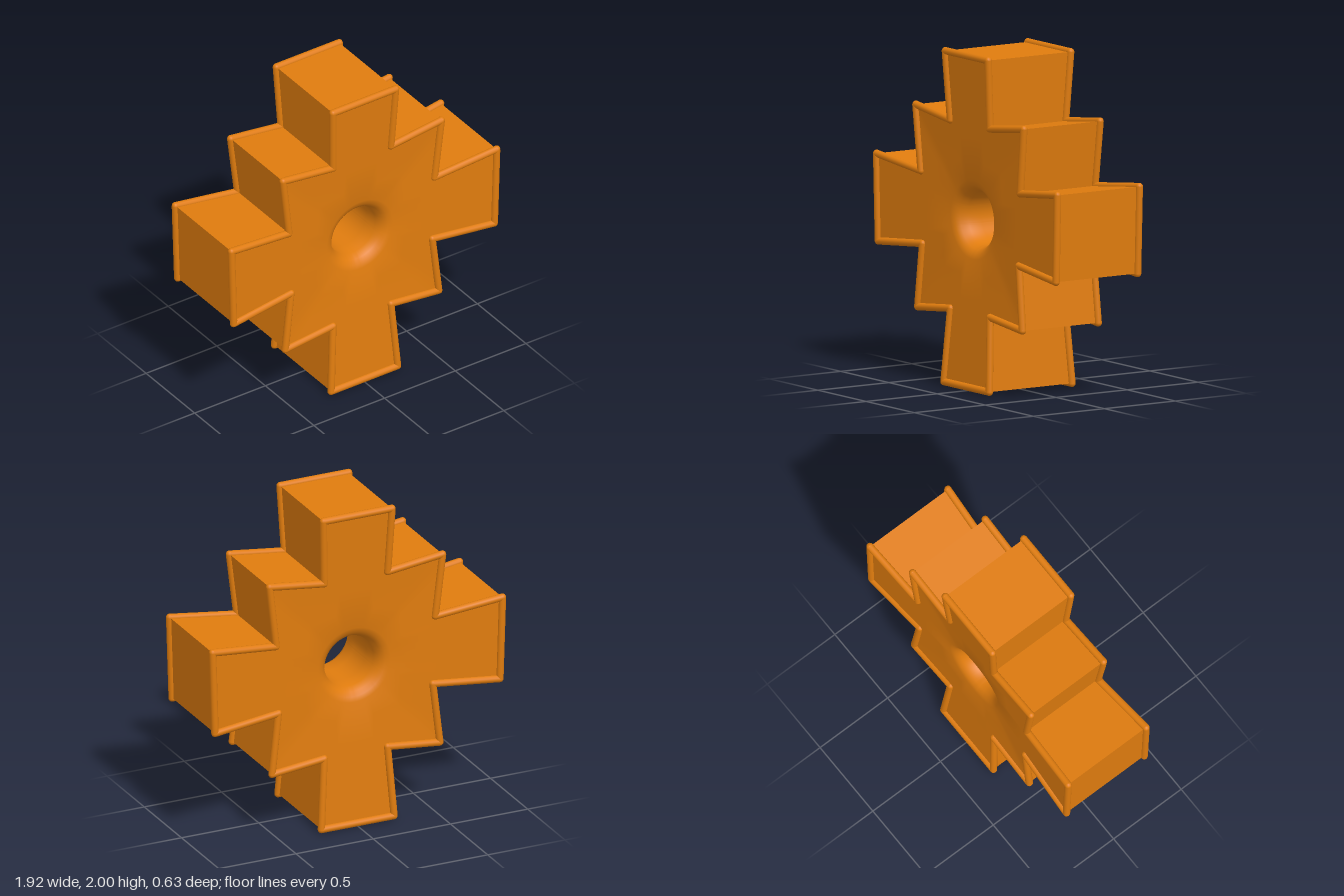
import * as THREE from 'three';
import { toCreasedNormals } from 'three/addons/utils/BufferGeometryUtils.js';

const RIM = 0.022;
const CENTRE_Y = 1.005;

// right half of the stepped cross outline, top to bottom; mirrored for the left
const half = [
  [0.222, 1.978], [0.205, 1.57], [0.56, 1.615], [0.515, 1.228], [0.938, 1.277],
  [0.922, 0.762], [0.5, 0.8], [0.543, 0.422], [0.205, 0.457], [0.235, 0.022],
];
const outline = [...half, ...half.map(([x, y]) => [-x, y]).reverse()]
  .map(([x, y]) => new THREE.Vector2(x, y - CENTRE_Y));

// the faces are dished: thicker towards the ends of the arms
const faceZ = (p) => 0.232 + 0.06 * Math.max(Math.abs(p.x), Math.abs(p.y));

// closed loft: hole, funnel, front face, side wall, back face and back to the hole
function bodyGeometry() {
  const steps = 5;
  const loop = [];
  outline.forEach((a, i) => {
    const b = outline[(i + 1) % outline.length];
    for (let s = 0; s < steps; s++) loop.push(a.clone().lerp(b, s / steps));
  });
  const funnel = [[0.158, 0.08], [0.16, 0.17], [0.18, 0.215], [0.205, 0.236], [0.235, 0.246]];
  const blends = [0.33, 0.66, 1];
  const section = (p) => {
    const dir = p.clone().normalize();
    const inner = dir.clone().multiplyScalar(0.235);
    const front = funnel.map(([r, z]) => [dir.x * r, dir.y * r, z]);
    for (const t of blends) {
      const q = inner.clone().lerp(p, t);
      front.push([q.x, q.y, faceZ(q)]);
    }
    return [...front, ...front.map(([x, y, z]) => [x, y, -z]).reverse()];
  };
  const pos = [];
  const index = [];
  const n = loop.length;
  const m = 2 * (funnel.length + blends.length);
  loop.forEach((p) => section(p).forEach((v) => pos.push(...v)));
  for (let i = 0; i < n; i++) {
    for (let j = 0; j < m; j++) {
      const a = i * m + j;
      const b = i * m + (j + 1) % m;
      const c = ((i + 1) % n) * m + (j + 1) % m;
      const d = ((i + 1) % n) * m + j;
      index.push(a, c, b, a, d, c);
    }
  }
  const geo = new THREE.BufferGeometry();
  geo.setAttribute('position', new THREE.Float32BufferAttribute(pos, 3));
  geo.setIndex(index);
  return toCreasedNormals(geo, 0.7);
}

// rounded bead following the outline on one face
function makeRim(side, material) {
  const rim = new THREE.Group();
  const points = outline.map((p) => new THREE.Vector3(p.x, p.y, side * faceZ(p)));
  const ball = new THREE.SphereGeometry(RIM, 12, 8);
  points.forEach((a, i) => {
    const b = points[(i + 1) % points.length];
    const dir = b.clone().sub(a);
    const bar = new THREE.Mesh(
      new THREE.CylinderGeometry(RIM, RIM, dir.length(), 12, 1, true), material);
    bar.position.copy(a).add(b).multiplyScalar(0.5);
    bar.quaternion.setFromUnitVectors(new THREE.Vector3(0, 1, 0), dir.normalize());
    bar.name = 'rimEdge';
    const corner = new THREE.Mesh(ball, material);
    corner.position.copy(a);
    corner.name = 'rimCorner';
    rim.add(bar, corner);
  });
  rim.name = side > 0 ? 'frontRim' : 'backRim';
  return rim;
}

export function createModel() {
  const orange = new THREE.MeshStandardMaterial({ color: 0xe07c0e });
  orange.name = 'orange';
  const model = new THREE.Group();
  model.name = 'steppedCross';

  const body = new THREE.Mesh(bodyGeometry(), orange);
  body.name = 'crossBody';
  const cross = new THREE.Group();
  cross.name = 'cross';
  cross.add(body, makeRim(1, orange), makeRim(-1, orange));
  cross.position.y = CENTRE_Y;
  model.add(cross);
  return model;
}
